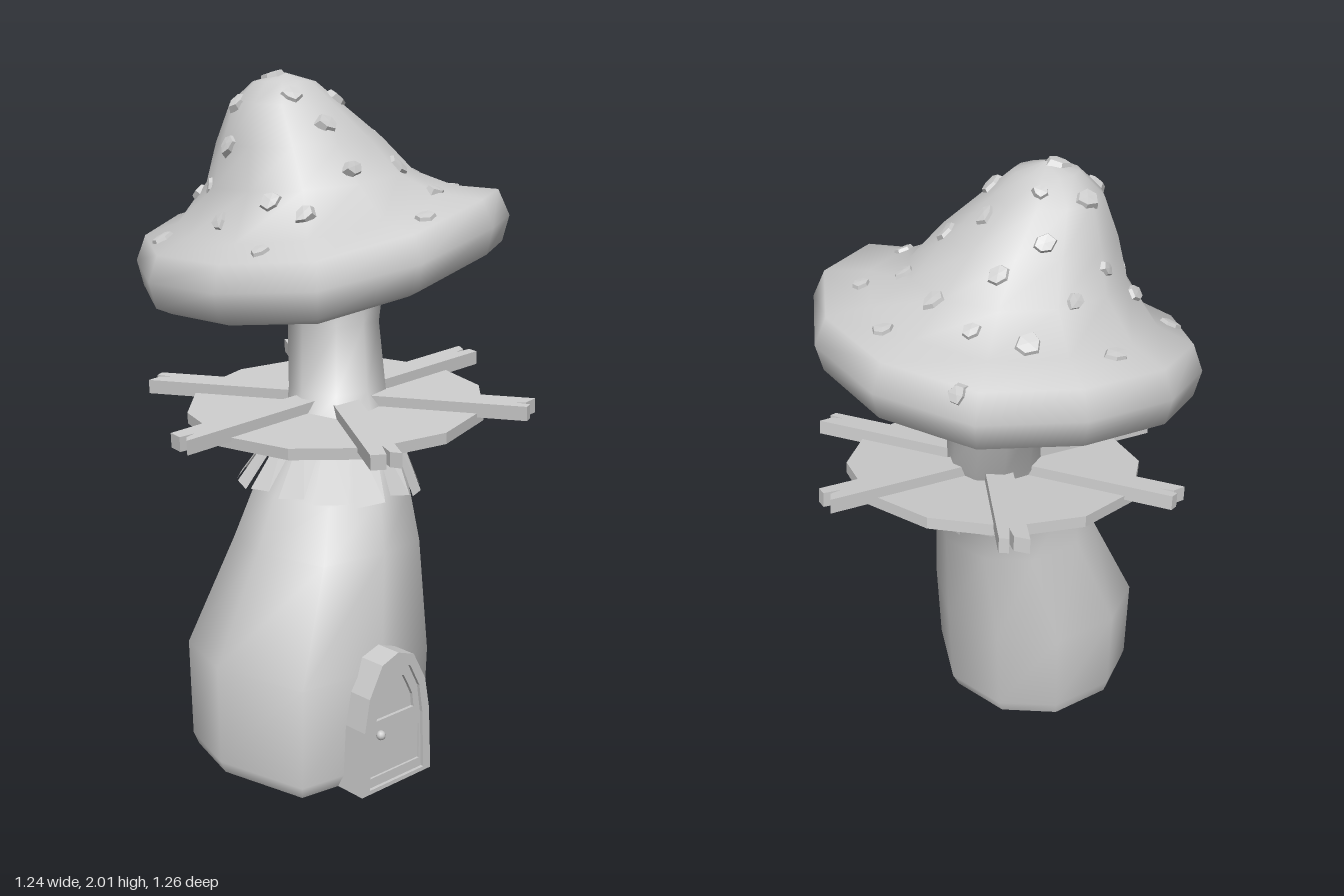
import * as THREE from 'three';

const mat = new THREE.MeshStandardMaterial({ color: 0xcccccc });
const thin = new THREE.MeshStandardMaterial({ color: 0xcccccc, side: THREE.DoubleSide });
const thinFlat = new THREE.MeshStandardMaterial({ color: 0xcccccc, side: THREE.DoubleSide, flatShading: true });
const flat = new THREE.MeshStandardMaterial({ color: 0xcccccc, flatShading: true });

let seed = 7;
const rand = () => (seed = (seed * 16807) % 2147483647) / 2147483647;

function mesh(name, geo, material = mat) {
  const m = new THREE.Mesh(geo, material);
  m.name = name;
  return m;
}

// Smooth surface through closed rings of points, listed from bottom to top
function loft(rings) {
  const n = rings[0].length, pos = rings.flat(2), idx = [];
  for (let i = 0; i < rings.length - 1; i++) {
    for (let j = 0; j < n; j++) {
      const a = i * n + j, b = i * n + (j + 1) % n, c = a + n, d = b + n;
      idx.push(a, c, b, b, c, d);
    }
  }
  const g = new THREE.BufferGeometry();
  g.setAttribute('position', new THREE.Float32BufferAttribute(pos, 3));
  g.setIndex(idx);
  g.computeVertexNormals();
  return g;
}

// Separate triangles, flat shaded
function facets(points) {
  const g = new THREE.BufferGeometry();
  g.setAttribute('position', new THREE.Float32BufferAttribute(points.flat(), 3));
  g.computeVertexNormals();
  return g;
}

function outline(points, Type = THREE.Shape) {
  return new Type(points.map(([x, y]) => new THREE.Vector2(x, y)));
}

const extrude = (shape, depth) => new THREE.ExtrudeGeometry(shape, { depth, bevelEnabled: false });

// Leaning stem: height and x/z extents of each section
function makeStem() {
  const section = [[1, 0.1], [0.62, 0.93], [0, 1], [-0.8, 0.88], [-1, 0], [-0.82, -0.65], [-0.3, -1], [0.4, -1], [0.87, -0.6]];
  const levels = [
    [0, -0.6, 0.02, -0.08, 0.53], [0.04, -0.62, 0.04, -0.09, 0.55], [0.33, -0.62, 0.06, -0.11, 0.55],
    [0.64, -0.46, 0.07, -0.04, 0.47], [0.78, -0.36, 0.09, -0.04, 0.39], [0.92, -0.2, 0.13, -0.05, 0.27],
    [1.04, -0.13, 0.16, -0.1, 0.18], [1.24, -0.07, 0.18, -0.17, 0.12], [1.38, -0.12, 0.21, -0.22, 0.13], [1.52, -0.14, 0.24, -0.25, 0.14],
  ];
  return mesh('stem', loft(levels.map(([y, x0, x1, z0, z1]) =>
    section.map(([u, v]) => [(x0 + x1) / 2 + u * (x1 - x0) / 2, y, (z0 + z1) / 2 + v * (z1 - z0) / 2]))), thin);
}

// Tilted twelve-sided cap with a wavy rim, from underside to apex
function makeCap() {
  const rim = [1.54, 1.57, 1.56, 1.48, 1.41, 1.39, 1.39, 1.42, 1.46, 1.48, 1.48, 1.51];
  // base height, share of rim wave, centre x, centre z, radius x, radius z
  const levels = [
    [1.52, 0, 0.05, -0.05, 0.04, 0.04], [1.5, 0.3, 0.05, -0.05, 0.19, 0.2],
    [1.4, 1, 0.035, -0.053, 0.5, 0.53], [1.42, 1, 0.035, -0.053, 0.55, 0.58],
    [1.5, 1, 0.035, -0.053, 0.572, 0.6], [1.58, 1, 0.03, -0.053, 0.54, 0.565],
    [1.605, 0.8, 0.015, -0.06, 0.43, 0.43], [1.69, 0.25, -0.005, -0.06, 0.325, 0.315],
    [1.8, 0.1, -0.05, -0.058, 0.26, 0.25], [1.91, 0, -0.085, -0.08, 0.17, 0.17],
    [1.975, 0, -0.09, -0.08, 0.095, 0.095], [2, 0, -0.09, -0.08, 0.005, 0.005],
  ];
  return mesh('cap', loft(levels.map(([y, wave, cx, cz, rx, rz]) => rim.map((h, j) => {
    const a = (j + 0.5) * Math.PI / 6;
    return [cx + rx * Math.cos(a), y + wave * (h - 1.5), cz + rz * Math.sin(a)];
  }))), thin);
}

// Raised irregular spots, dropped onto the cap at x, z with a size
function makeSpots(cap) {
  const group = new THREE.Group();
  group.name = 'capSpots';
  const places = [
    [-0.015, -0.5, 45], [0.2, -0.39, 48], [0.445, -0.41, 36], [-0.39, -0.31, 42], [-0.24, -0.31, 42], [-0.12, -0.32, 30],
    [0.02, -0.36, 38], [0.05, -0.255, 42], [0.18, -0.225, 45], [0.305, -0.27, 34], [-0.115, -0.23, 44], [0, -0.17, 30],
    [-0.29, -0.19, 34], [-0.12, -0.095, 46], [0.115, -0.07, 42], [0.325, -0.115, 45], [0.465, -0.075, 42], [-0.37, -0.05, 36],
    [-0.3, -0.09, 42], [-0.245, -0.11, 38], [-0.16, 0.035, 40], [0.025, 0.03, 42], [0.175, 0.04, 40], [0.29, 0.085, 36],
    [-0.295, 0.095, 42], [-0.11, 0.135, 44], [-0.39, 0.155, 36], [-0.26, 0.2, 42], [-0.09, 0.22, 36], [0.115, 0.205, 45],
    [0.38, 0.185, 42], [0.14, 0.335, 46], [-0.015, 0.44, 42],
  ];
  const ray = new THREE.Raycaster(), down = new THREE.Vector3(0, -1, 0), up = new THREE.Vector3(0, 1, 0);
  for (const [x, z, size] of places) {
    ray.set(new THREE.Vector3(x, 3, z), down);
    const hit = ray.intersectObject(cap)[0];
    if (!hit) continue;
    const r = size / 1000, sides = 6, pts = [], centre = [0, 0.012, 0];
    const low = [], top = [], turn = rand() * 6;
    for (let i = 0; i < sides; i++) {
      const a = turn + i * 2 * Math.PI / sides, k = r * (0.7 + 0.4 * rand());
      low.push([k * Math.cos(a), -0.01, k * 0.85 * Math.sin(a)]);
      top.push([k * 0.78 * Math.cos(a), 0.01, k * 0.66 * Math.sin(a)]);
    }
    for (let i = 0; i < sides; i++) {
      const j = (i + 1) % sides;
      pts.push(low[i], top[i], low[j], low[j], top[i], top[j], top[i], centre, top[j]);
    }
    const spot = mesh('spot', facets(pts), flat);
    spot.position.copy(hit.point);
    spot.quaternion.setFromUnitVectors(up, hit.face.normal);
    group.add(spot);
  }
  return group;
}

// Torn strips hanging round the stem under the platform
function makeSkirt() {
  const pts = [], n = 15, step = 2 * Math.PI / n;
  const upper = a => [-0.03 + 0.175 * Math.cos(a), 0.96, 0.095 + 0.17 * Math.sin(a)];
  const lower = (a, lift) => [-0.135 + 0.28 * Math.cos(a), 0.77 - 0.015 * Math.cos(a) + lift, 0.17 + 0.28 * Math.sin(a)];
  for (let i = 0; i < n; i++) {
    const a = i * step, b = a + step;
    const la = lower(a + step * (0.05 + 0.12 * rand()), 0.03 * rand());
    const lb = lower(b - step * (0.05 + 0.12 * rand()), 0.03 * rand());
    pts.push(upper(a), upper(b), la, la, upper(b), lb);
  }
  return mesh('skirt', facets(pts), thinFlat);
}

// Jagged flare where the stem meets the cap
function makeCollar() {
  const pts = [], n = 11, step = 2 * Math.PI / n;
  const at = (a, r, y) => [0.05 + r * Math.cos(a), y, -0.04 + r * Math.sin(a)];
  for (let i = 0; i < n; i++) {
    const a = i * step, b = a + step, tip = (a + b) / 2;
    const p = at(a, 0.135, 1.25), q = at(b, 0.135, 1.25);
    const u = at(a, 0.205, 1.39), v = at(b, 0.205, 1.39);
    pts.push(p, u, q, q, u, v, u, at(tip, 0.26 + 0.03 * rand(), 1.47), v);
  }
  return mesh('collar', facets(pts), thinFlat);
}

// Tilted round platform with six split-ended planks
function makePlatform() {
  const g = new THREE.Group();
  g.name = 'platform';
  const disc = mesh('platformDisc', new THREE.CylinderGeometry(0.47, 0.47, 0.035, 12), flat);
  disc.position.y = -0.025;
  g.add(disc);
  for (let i = 0; i < 6; i++) {
    const notch = 0.53 + 0.04 * rand(), side = rand() * 0.03 - 0.015;
    const shape = outline([[0.1, -0.043], [0.61, -0.045], [0.615, side - 0.006], [notch, side], [0.6, side + 0.008], [0.62, 0.043], [0.1, 0.043]]);
    const geo = extrude(shape, 0.045);
    geo.rotateX(-Math.PI / 2);
    const plank = mesh('plank', geo, flat);
    plank.position.y = -0.02;
    plank.rotation.y = i * Math.PI / 3;
    g.add(plank);
  }
  g.position.set(0, 1.008, 0.055);
  g.rotation.set(0.05, 0, 0.082);
  return g;
}

// Pointed door with frame, window and panel
function makeDoor() {
  const g = new THREE.Group();
  g.name = 'door';
  const arch = (w, y0, y1, y2) => [[-w, y0], [w, y0], [w * 0.93, (y0 + y1 * 2) / 3], [w * 0.8, y1], [w * 0.45, y2 - (y2 - y1) * 0.2], [0, y2],
    [-w * 0.45, y2 - (y2 - y1) * 0.2], [-w * 0.8, y1], [-w * 0.93, (y0 + y1 * 2) / 3]];
  const add = (name, shape, z, depth) => {
    const m = mesh(name, extrude(shape, depth), flat);
    m.position.z = z;
    g.add(m);
  };
  const frame = outline(arch(0.14, 0, 0.29, 0.4));
  frame.holes.push(outline(arch(0.11, 0.012, 0.275, 0.365), THREE.Path));
  add('doorFrame', frame, 0.5, 0.11);
  const leaf = outline(arch(0.115, 0.005, 0.28, 0.37));
  leaf.holes.push(outline([[-0.1, 0.04], [0.1, 0.04], [0.1, 0.15], [-0.1, 0.15]], THREE.Path));
  leaf.holes.push(outline(arch(0.075, 0.21, 0.27, 0.33), THREE.Path));
  add('doorLeaf', leaf, 0.55, 0.05);
  add('doorPanel', outline([[-0.105, 0.03], [0.105, 0.03], [0.105, 0.16], [-0.105, 0.16]]), 0.56, 0.033);
  add('doorWindow', outline(arch(0.085, 0.2, 0.275, 0.34)), 0.56, 0.03);
  const knob = mesh('doorKnob', new THREE.SphereGeometry(0.014, 10, 8));
  knob.position.set(-0.075, 0.175, 0.618);
  g.add(knob);
  g.position.x = -0.276;
  return g;
}

export function createModel() {
  const model = new THREE.Group();
  model.name = 'mushroomHouse';
  const cap = makeCap();
  model.add(makeStem(), cap, makeSpots(cap), makeSkirt(), makeCollar(), makePlatform(), makeDoor());
  return model;
}
